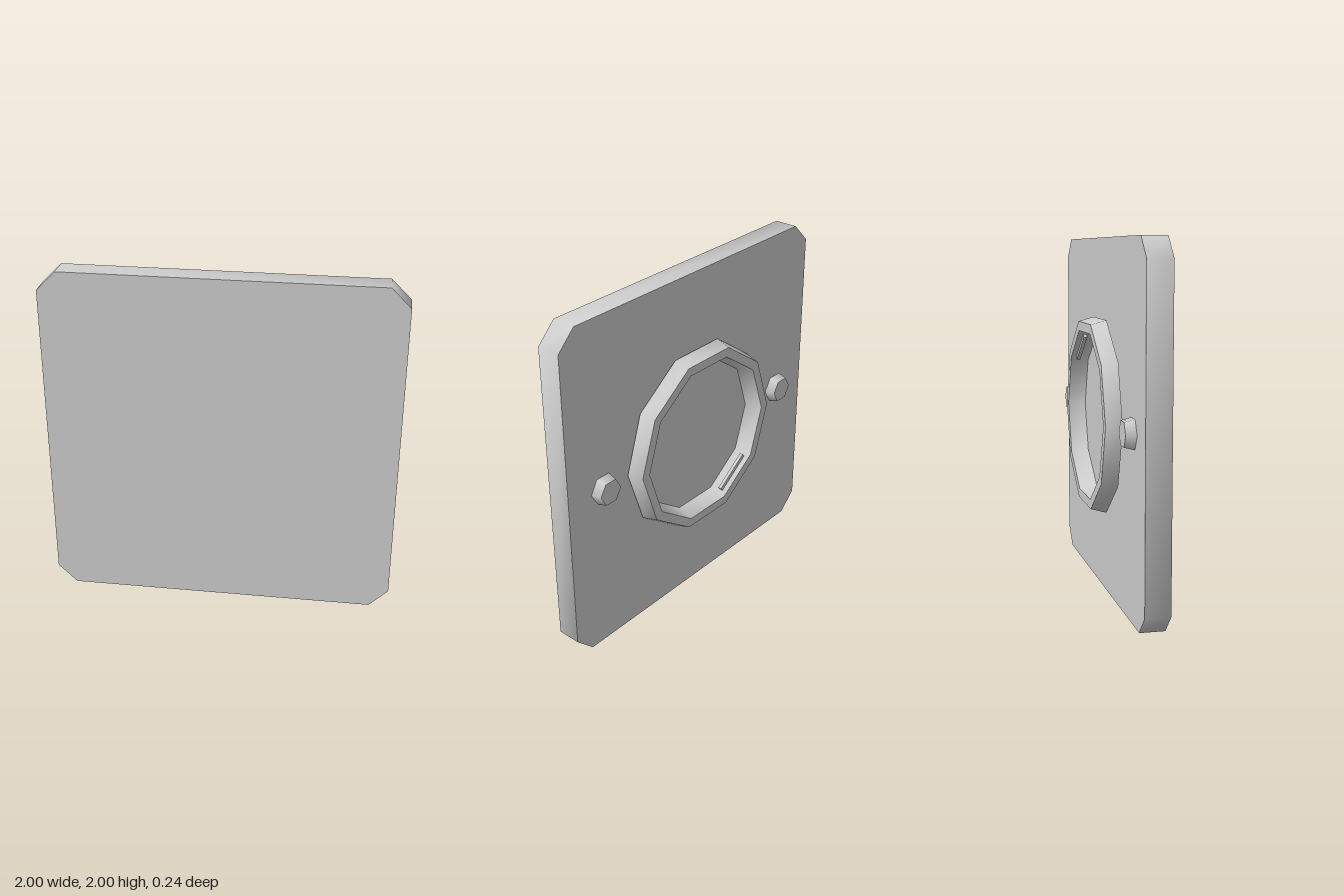
import * as THREE from 'three';
import { toCreasedNormals } from 'three/addons/utils/BufferGeometryUtils.js';

export function createModel() {
  const group = new THREE.Group();
  const grey = new THREE.MeshStandardMaterial({ color: 0xcccccc });
  grey.name = 'lightGrey';

  const BACK = -0.02;   // back face of the plate
  const FRONT = 0.118;
  const CY = 1.005;     // height of the ring and pegs

  const add = (name, geometry, x, y, z) => {
    const mesh = new THREE.Mesh(geometry, grey);
    mesh.name = name;
    mesh.position.set(x, y, z);
    group.add(mesh);
    return mesh;
  };

  // Square plate with cut corners
  const c = 0.11;
  const outline = new THREE.Shape([
    [-1 + c, 0], [1 - c, 0], [1, c], [1, 2 - c],
    [1 - c, 2], [-1 + c, 2], [-1, 2 - c], [-1, c],
  ].map(([x, y]) => new THREE.Vector2(x, y)));
  const plate = new THREE.ExtrudeGeometry(outline, { depth: FRONT - BACK, bevelEnabled: false });
  add('plate', toCreasedNormals(plate, 0.9), 0, 0, BACK);

  // Ten-sided mounting ring: short neck, flared lip, tapered bore
  const profile = [
    [0.5, 0], [0.5, 0.01], [0.57, 0.01], [0.545, 0.098], [0.49, 0.098], [0.46, 0],
  ].map(([r, h]) => new THREE.Vector2(r, h));
  const ring = new THREE.LatheGeometry(profile, 10, Math.PI / 2).rotateX(-Math.PI / 2);
  add('mountingRing', toCreasedNormals(ring, 0.75), 0, CY, BACK);

  // Two opposite locking tabs inside the ring
  for (const angle of [0.3 * Math.PI, 1.3 * Math.PI]) {
    const r = 0.45;
    const tab = add('lockingTab', new THREE.BoxGeometry(0.03, 0.25, 0.02),
      r * Math.cos(angle), CY + r * Math.sin(angle), BACK - 0.06);
    tab.rotation.z = angle;
  }

  // Tapered hexagonal pegs on either side
  for (const side of [-1, 1]) {
    const peg = new THREE.CylinderGeometry(0.075, 0.09, 0.056, 6, 1, false, Math.PI / 2)
      .rotateX(-Math.PI / 2);
    add(side > 0 ? 'leftPeg' : 'rightPeg', peg, side * 0.745, CY, BACK - 0.028);
  }

  return group;
}
